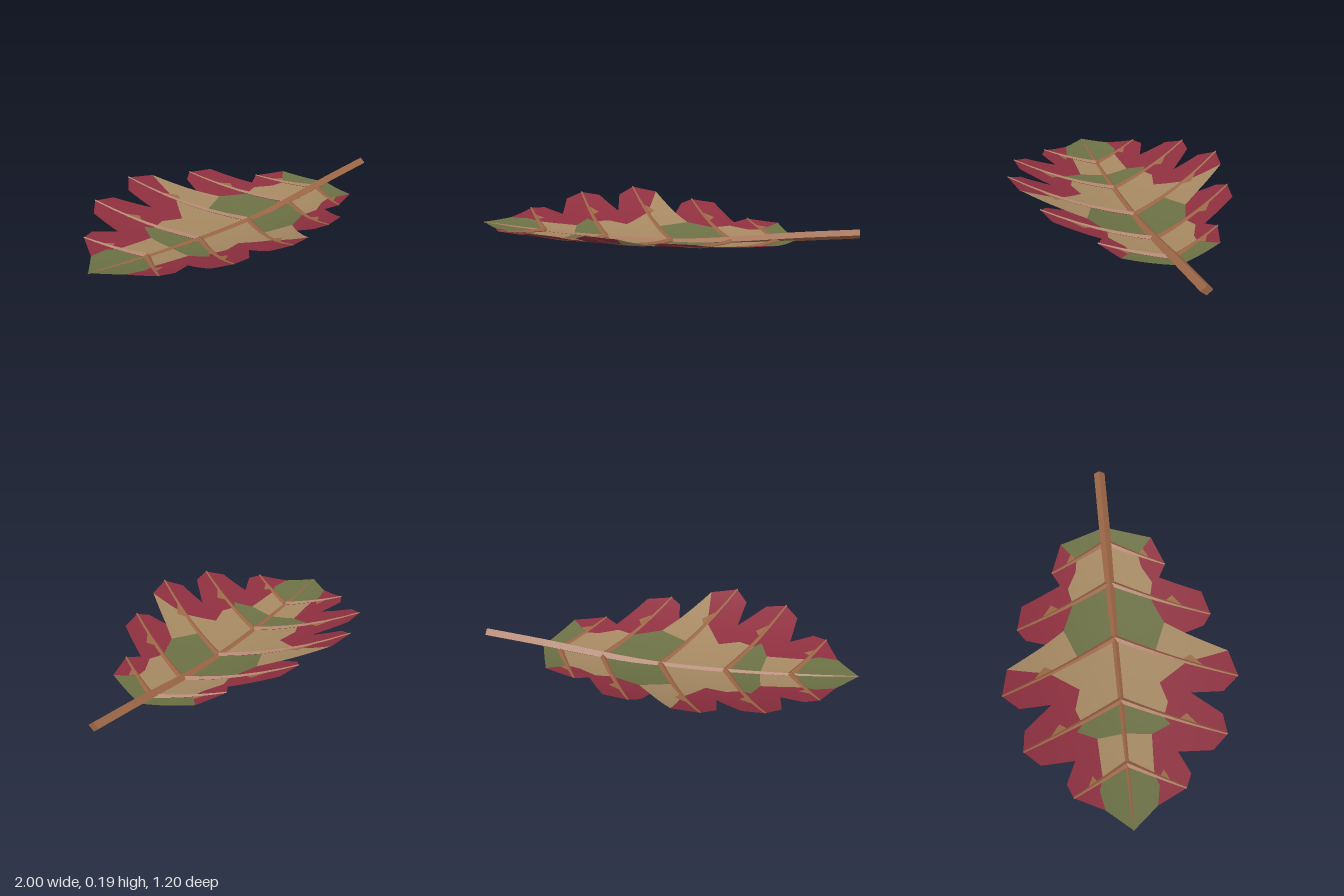
import * as THREE from 'three';

const mat = (name, color, side = THREE.FrontSide) => {
  const m = new THREE.MeshStandardMaterial({ color, side });
  m.name = name;
  return m;
};

// Cupped leaf surface: rises toward both ends and both edges
const onLeaf = (x, z, lift) =>
  new THREE.Vector3(x, 0.018 + 0.07 * x * x + 0.06 * Math.abs(z) + 0.35 * z * z + lift, z);

// Flat outline of (x, distance from midrib), subdivided and bent onto the leaf surface
function patch(outline, side, lift = 0) {
  const shape = new THREE.Shape(outline.map(([x, d]) => new THREE.Vector2(x, -side * d)));
  const flat = new THREE.ShapeGeometry(shape).toNonIndexed().getAttribute('position');
  let pts = [];
  for (let i = 0; i < flat.count; i++) pts.push(new THREE.Vector2(flat.getX(i), flat.getY(i)));
  for (let level = 0; level < 2; level++) {
    const next = [];
    for (let i = 0; i < pts.length; i += 3) {
      const [a, b, c] = pts.slice(i, i + 3);
      const mid = (p, q) => p.clone().add(q).multiplyScalar(0.5);
      const ab = mid(a, b), bc = mid(b, c), ca = mid(c, a);
      next.push(a, ab, ca, ab, b, bc, ca, bc, c, ab, bc, ca);
    }
    pts = next;
  }
  const geo = new THREE.BufferGeometry().setFromPoints(pts.map((p) => onLeaf(p.x, -p.y, lift)));
  const normals = pts.flatMap((p) =>
    new THREE.Vector3(-0.14 * p.x, 1, 0.7 * p.y - 0.06 * side).normalize().toArray());
  geo.setAttribute('normal', new THREE.Float32BufferAttribute(normals, 3));
  return geo;
}

// Tapered four-sided rod swept along a curve, diamond in section
function rod(curve, segments, width, ratio) {
  const geo = new THREE.CylinderGeometry(1, 1, 1, 4, segments).toNonIndexed();
  const pos = geo.getAttribute('position');
  const up = new THREE.Vector3(0, 1, 0);
  for (let i = 0; i < pos.count; i++) {
    const t = THREE.MathUtils.clamp(pos.getY(i) + 0.5, 0, 1);
    const across = curve.getTangent(t).cross(up).normalize();
    const w = width(t);
    const p = curve.getPoint(t).addScaledVector(across, pos.getX(i) * w);
    p.y += pos.getZ(i) * w * ratio;
    pos.setXYZ(i, p.x, p.y, p.z);
  }
  geo.computeVertexNormals();
  return geo;
}

// Lobed edge of half the blade, from tip to stem
const edge = [
  [-1, 0], [-0.89, 0.13], [-0.82, 0.28], [-0.75, 0.31], [-0.63, 0.26], [-0.65, 0.43], [-0.58, 0.51],
  [-0.47, 0.5], [-0.33, 0.36], [-0.355, 0.52], [-0.29, 0.6], [-0.145, 0.57], [0, 0.37], [0.02, 0.47],
  [0.075, 0.51], [0.21, 0.48], [0.34, 0.27], [0.41, 0.31], [0.58, 0.25], [0.63, 0.13], [0.68, 0],
];
// Line where the inner bands meet the red lobes
const border = [
  [-0.79, 0.15], [-0.73, 0.13], [-0.52, 0.14], [-0.48, 0.24], [-0.44, 0.21], [-0.36, 0.24], [-0.25, 0.21],
  [-0.16, 0.36], [0.08, 0.27], [0.23, 0.21], [0.32, 0.23], [0.42, 0.18], [0.49, 0.17],
];
// Side veins run from these places on the midrib to the lobe tips
const roots = [-0.66, -0.32, 0.03, 0.35, 0.59];
const tips = [2, 6, 10, 14, 17].map((i) => edge[i]);
const alongVein = (i, t) => [roots[i] + (tips[i][0] - roots[i]) * t, tips[i][1] * t];

export function createModel() {
  const red = mat('crimson', 0x8e2f3f, THREE.DoubleSide);
  const green = mat('olive green', 0x6b7044, THREE.DoubleSide);
  const tan = mat('tan', 0xa58862, THREE.DoubleSide);
  const ochre = mat('ochre', 0x9a6a45, THREE.DoubleSide);
  const brown = mat('stem brown', 0x9c6646);

  const model = new THREE.Group();
  model.name = 'leaf';
  const add = (geo, material, name, parent) => {
    const mesh = new THREE.Mesh(geo, material);
    mesh.name = name;
    parent.add(mesh);
  };

  const rim = (a, b) => edge.slice(a, b + 1);
  const inner = (a, b) => border.slice(a, b + 1);
  const root = (i) => [roots[i], 0];
  // A band lies between the midrib and the border, a lobe between border and edge
  const band = (start, a, b, end) => [start, ...inner(a, b), end];
  const lobe = (a, b, c, d) => [...rim(a, b), ...inner(c, d).reverse()];
  const split = [-0.5, 0];
  const low = alongVein(2, 0.34);

  const patches = [
    ['tipBand', green, [...rim(0, 1), ...inner(0, 1), root(0)]],
    ['frontBand', tan, band(root(0), 1, 2, split)],
    ['secondBand', green, band(split, 2, 4, root(1))],
    ['middleBand', tan, [root(1), ...inner(4, 7), low, root(2)]],
    ['middleLobeEdge', tan, [low, border[7], ...rim(11, 12), border[8]]],
    ['fourthBand', green, [root(2), low, ...inner(8, 9), root(3)]],
    ['rearBand', tan, band(root(3), 9, 12, root(4))],
    ['baseBand', green, [root(4), border[12], ...rim(18, 20)]],
    ['firstLobe', red, lobe(1, 4, 0, 2)],
    ['secondLobe', red, lobe(4, 8, 2, 5)],
    ['thirdLobe', red, lobe(8, 11, 5, 7)],
    ['fourthLobe', red, lobe(12, 16, 8, 10)],
    ['fifthLobe', red, lobe(16, 18, 10, 12)],
  ];

  for (const side of [1, -1]) {
    const half = new THREE.Group();
    half.name = side > 0 ? 'frontHalf' : 'backHalf';
    model.add(half);
    for (const [name, material, outline] of patches) add(patch(outline, side), material, name, half);

    roots.forEach((_, i) => {
      // Side vein lying on the blade
      const path = [0, 0.25, 0.5, 0.75, 1].map((t) => {
        const [x, d] = alongVein(i, t);
        return onLeaf(x, side * d, 0.005 - 0.003 * t);
      });
      const curve = new THREE.CatmullRomCurve3(path);
      add(rod(curve, 6, (t) => 0.017 - 0.012 * t, 0.75), brown, 'sideVein', half);
      // Small spot beside the vein
      const [x, d] = alongVein(i, 0.64);
      const spot = [alongVein(i, 0.55), alongVein(i, 0.75), [x + 0.05, d]];
      add(patch(spot, side, 0.002), ochre, 'veinSpot', half);
    });
  }

  // Midrib running on into the stem
  const rib = new THREE.CatmullRomCurve3([
    [-1, 0.085], [-0.66, 0.05], [-0.3, 0.026], [0.05, 0.017], [0.35, 0.034], [0.68, 0.067], [1, 0.093],
  ].map(([x, y]) => new THREE.Vector3(x, y, 0)));
  add(rod(rib, 18, (t) => 0.004 + 0.026 * Math.min(1, t / 0.8), 0.8), brown, 'midribAndStem', model);

  return model;
}
